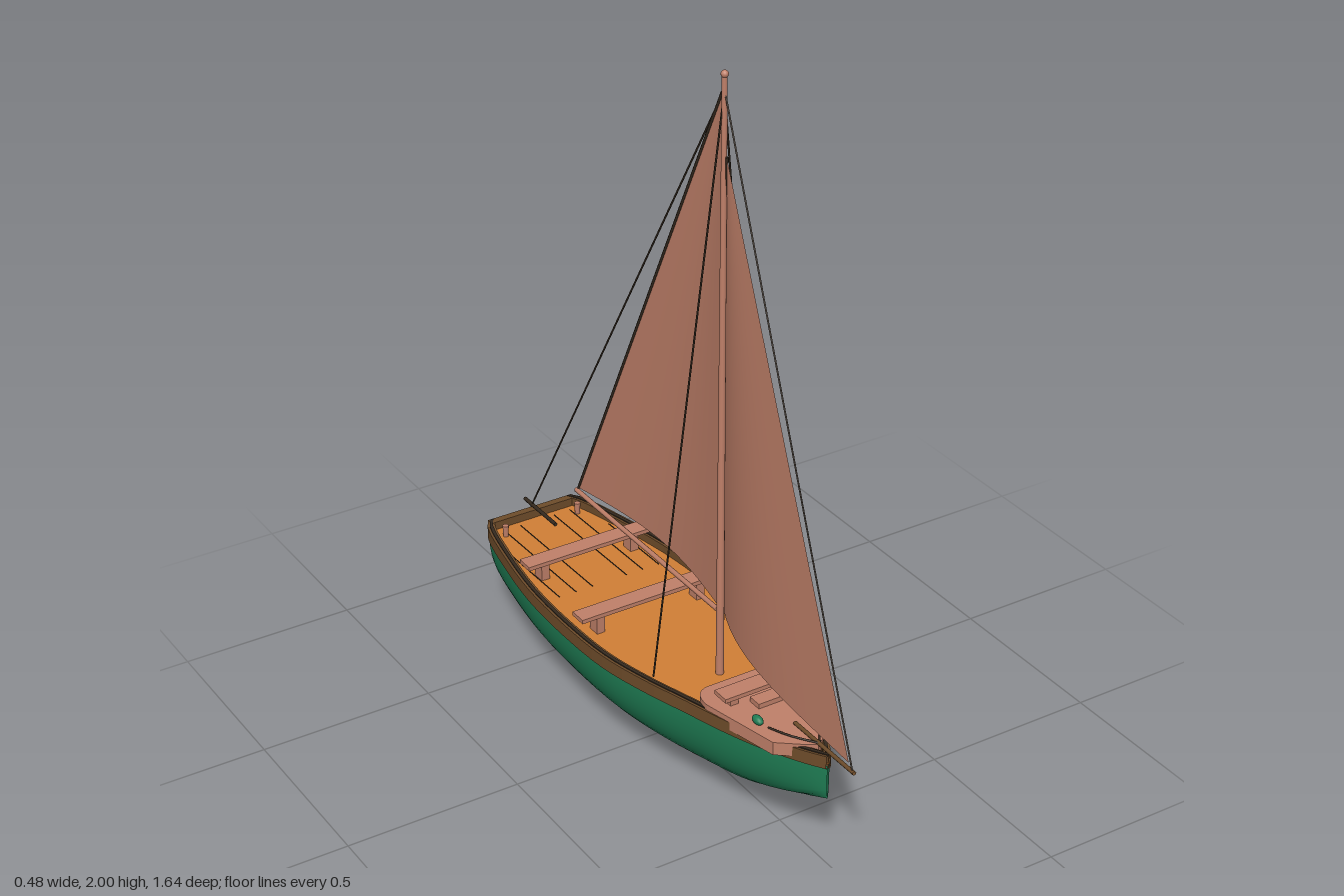
import * as THREE from 'three';

const mat = (name, color) => {
  const m = new THREE.MeshStandardMaterial({ color, side: THREE.DoubleSide });
  m.name = name;
  return m;
};

export function createModel() {
  const boat = new THREE.Group();
  const green = mat('green paint', 0x1f7d54), red = mat('red paint', 0xa62c3c);
  const brick = mat('brick cloth and wood', 0xc08069), orange = mat('orange deck', 0xd28036);
  const brown = mat('brown rail', 0x6e4c2a), dark = mat('dark rigging', 0x352a1f);
  const V = (x, y, z) => new THREE.Vector3(x, y, z);

  const add = (name, geo, material, x = 0, y = 0, z = 0, parent = boat) => {
    const m = new THREE.Mesh(geo, material);
    m.name = name;
    m.position.set(x, y, z);
    parent.add(m);
    return m;
  };
  const box = (name, material, w, h, d, x, y, z) => add(name, new THREE.BoxGeometry(w, h, d), material, x, y, z);
  const line = (name, material, pts, r = 0.003, n = 1) =>
    add(name, new THREE.TubeGeometry(pts.length > 2 ? new THREE.CatmullRomCurve3(pts) : new THREE.LineCurve3(...pts), n, r, 6), material);

  // Skin over rows of points; band(j) gives the material index of column j
  const loft = (rows, band, flat) => {
    const k = rows[0].length, idx = [[], []];
    for (let i = 0; i < rows.length - 1; i++)
      for (let j = 0; j < k - 1; j++) {
        const a = i * k + j, b = a + k;
        idx[band ? band(j) : 0].push(a, a + 1, b, b, a + 1, b + 1);
      }
    const g = new THREE.BufferGeometry().setFromPoints(rows.flat());
    g.setIndex(idx.flat());
    g.addGroup(0, idx[0].length, 0);
    g.addGroup(idx[0].length, idx[1].length, 1);
    const out = flat ? g.toNonIndexed() : g;
    out.computeVertexNormals();
    return out;
  };

  // Hull stations: half width, bottom height, z
  const stations = new THREE.CatmullRomCurve3([
    V(0.135, 0.065, -0.79), V(0.155, 0.06, -0.755), V(0.192, 0.051, -0.6), V(0.225, 0.048, -0.4), V(0.236, 0.047, -0.2),
    V(0.23, 0.048, 0), V(0.2, 0.055, 0.16), V(0.162, 0.07, 0.3), V(0.13, 0.09, 0.42), V(0.097, 0.12, 0.52),
    V(0.058, 0.152, 0.61), V(0.03, 0.178, 0.665), V(0.003, 0.2, 0.71),
  ]).getPoints(48).map(p => ({ w: p.x, yb: p.y, z: p.z, ys: 0.262 + 0.026 * (p.z + 0.79) }));
  const WL = 0.113, N = 8;
  const halfSection = s => {
    const pts = [], wl = Math.max(s.yb, WL);
    for (let j = 0; j <= 2 * N; j++) {
      const t = (j % N) / N;
      const y = j < N ? s.yb + (wl - s.yb) * t * t : j < 2 * N ? wl + (s.ys - wl) * t : s.ys;
      const v = Math.min(1, (y - s.yb) / (s.ys - s.yb));
      pts.push([s.w * Math.pow(1 - Math.pow(1 - v, 2.2), 1 / 2.2), y]);
    }
    return pts;
  };
  const rows = stations.map(s => {
    const h = halfSection(s);
    return [...h.slice(1).reverse().map(([x, y]) => V(-x, y, s.z)), ...h.map(([x, y]) => V(x, y, s.z))];
  });
  add('hull', loft(rows, j => (j >= N && j < 3 * N ? 1 : 0)), [green, red]);

  // Transom, split at the waterline
  const st = halfSection(stations[0]);
  const transom = (name, part, m) => add(name, loft(part.map(([x, y]) => [V(-x, y, -0.79), V(x, y, -0.79)])), m);
  transom('transomBottom', st.slice(0, N + 1), red);
  transom('transomTop', st.slice(N), green);

  // Deck, planks and rails
  add('deck', loft(stations.map(s => [V(-s.w * 0.97, s.ys + 0.006, s.z), V(s.w * 0.97, s.ys + 0.006, s.z)])), orange);
  for (const x of [-0.16, -0.108, -0.055, 0.055, 0.108, 0.16]) {
    const z0 = Math.abs(x) > 0.15 ? -0.62 : -0.75;
    line('plankSeam', dark, [V(x, 0.2695 + 0.026 * (z0 + 0.79), z0), V(x, 0.281, -0.35)], 0.0015);
  }
  for (const s of [-1, 1]) {
    const rail = (name, m, inn, out, lo, hi) => add(name, loft(stations.map(p => {
      const a = s * Math.max(0, p.w - inn), b = s * (p.w + out), y0 = p.ys + lo, y1 = p.ys + hi;
      return [V(a, y0, p.z), V(a, y1, p.z), V(b, y1, p.z), V(b, y0, p.z), V(a, y0, p.z)];
    }), null, true), m);
    rail('rail', brown, 0.02, 0.004, -0.008, 0.03);
    rail('railCap', dark, 0.013, -0.003, 0.03, 0.033);
  }
  box('sternRail', brown, 0.275, 0.038, 0.022, 0, 0.274, -0.782);

  // Foredeck
  const fd = new THREE.Shape();
  fd.moveTo(0, 0.665);
  fd.lineTo(0.035, 0.642);
  fd.lineTo(0.092, 0.597);
  fd.lineTo(0.143, 0.37);
  fd.quadraticCurveTo(0.145, 0.3, 0.09, 0.3);
  fd.lineTo(-0.09, 0.3);
  fd.quadraticCurveTo(-0.145, 0.3, -0.143, 0.37);
  fd.lineTo(-0.092, 0.597);
  fd.lineTo(-0.035, 0.642);
  const fdGeo = new THREE.ExtrudeGeometry(fd, { depth: 0.038, bevelEnabled: false });
  fdGeo.rotateX(Math.PI / 2);
  add('foredeck', fdGeo, brick, 0, 0.339, 0);
  box('hatch', brick, 0.082, 0.014, 0.042, 0, 0.346, 0.435);
  for (const s of [-1, 1]) {
    const lamp = s > 0 ? red : green;
    add('navigationLight', new THREE.SphereGeometry(0.012, 12, 8), lamp, s * 0.077, 0.348, 0.505).scale.z = 1.7;
    line('bowRope', dark, [V(s * 0.068, 0.342, 0.54), V(s * 0.045, 0.345, 0.6), V(0, 0.346, 0.67)], 0.003, 10);
    add('bollard', new THREE.CylinderGeometry(0.009, 0.007, 0.04, 12), brick, s * 0.118, 0.284, -0.725);
  }

  // Benches: half length, top height, z, leg base
  for (const [hw, y, z, base] of [[0.22, 0.35, -0.15, 0.28], [0.2, 0.338, -0.472, 0.27], [0.115, 0.37, 0.388, 0.335]]) {
    box('benchSeat', brick, 2 * hw, 0.012, 0.052, 0, y - 0.006, z);
    for (const s of [-1, 1]) box('benchLeg', brick, 0.025, y - 0.012 - base, 0.038, s * hw * 0.72, (y - 0.012 + base) / 2, z);
  }

  // Mast, boom and bowsprit
  add('mast', new THREE.CylinderGeometry(0.007, 0.011, 1.71, 12), brick, 0, 1.135, 0.21);
  add('mastCap', new THREE.SphereGeometry(0.01, 12, 8), brick, 0, 1.99, 0.21);
  line('boom', brick, [V(0, 0.486, 0.21), V(0, 0.486, -0.525)], 0.007);
  line('bowsprit', brown, [V(0, 0.343, 0.56), V(0, 0.345, 0.82)], 0.006);

  // Sails: p(t, s) with t from luff to leech and s from foot to head
  const sail = (name, p) => {
    const r = [];
    for (let i = 0; i <= 24; i++) r.push(Array.from({ length: 17 }, (_, j) => p(j / 16, i / 24)));
    add(name, loft(r), brick);
    line(name + 'EdgeRope', dark, r.map(row => row[16]), 0.004, 24);
  };
  const mix = THREE.MathUtils.lerp;
  sail('mainsail', (t, s) => V(
    0.045 * Math.sin(Math.PI * t) * (1 - s), mix(0.498, 1.94, s), mix(mix(0.2, -0.512, t), 0.2, s)));
  sail('jib', (t, s) => V(
    0.088 * Math.pow(t, 4) * (1 - s), mix(mix(0.362, 0.4, t), 1.78, s), mix(mix(0.795, 0.09, t), 0.222, s)));

  // Standing rigging
  const top = V(0, 1.95, 0.21);
  line('forestay', dark, [top, V(0, 0.345, 0.812)], 0.0025);
  line('backstay', dark, [top, V(0, 0.3, -0.785)], 0.0025);
  for (const s of [-1, 1]) line('shroud', dark, [top, V(s * 0.172, 0.315, 0.157)], 0.0025);

  // Rudder, tiller, propeller shaft
  const plate = (name, m, pts, thick) => {
    const g = new THREE.ExtrudeGeometry(new THREE.Shape(pts.map(([z, y]) => new THREE.Vector2(z, y))), { depth: thick, bevelEnabled: false });
    g.rotateY(-Math.PI / 2);
    return add(name, g, m, thick / 2, 0, 0);
  };
  plate('rudder', brick, [[-0.79, 0.29], [-0.81, 0.28], [-0.818, 0.25], [-0.815, 0.03], [-0.805, 0.02], [-0.765, 0.022], [-0.758, 0.06], [-0.79, 0.08]], 0.014);
  line('tiller', dark, [V(0, 0.308, -0.82), V(0, 0.31, -0.645)], 0.006);
  box('propeller', dark, 0.03, 0.028, 0.006, 0, 0.04, -0.585);

  // Fin keel
  plate('keel', red, [[0.09, 0.052], [0.06, 0.024], [0.01, 0.008], [-0.06, 0], [-0.24, 0.004], [-0.256, 0.014], [-0.225, 0.052]], 0.026);

  return boat;
}
